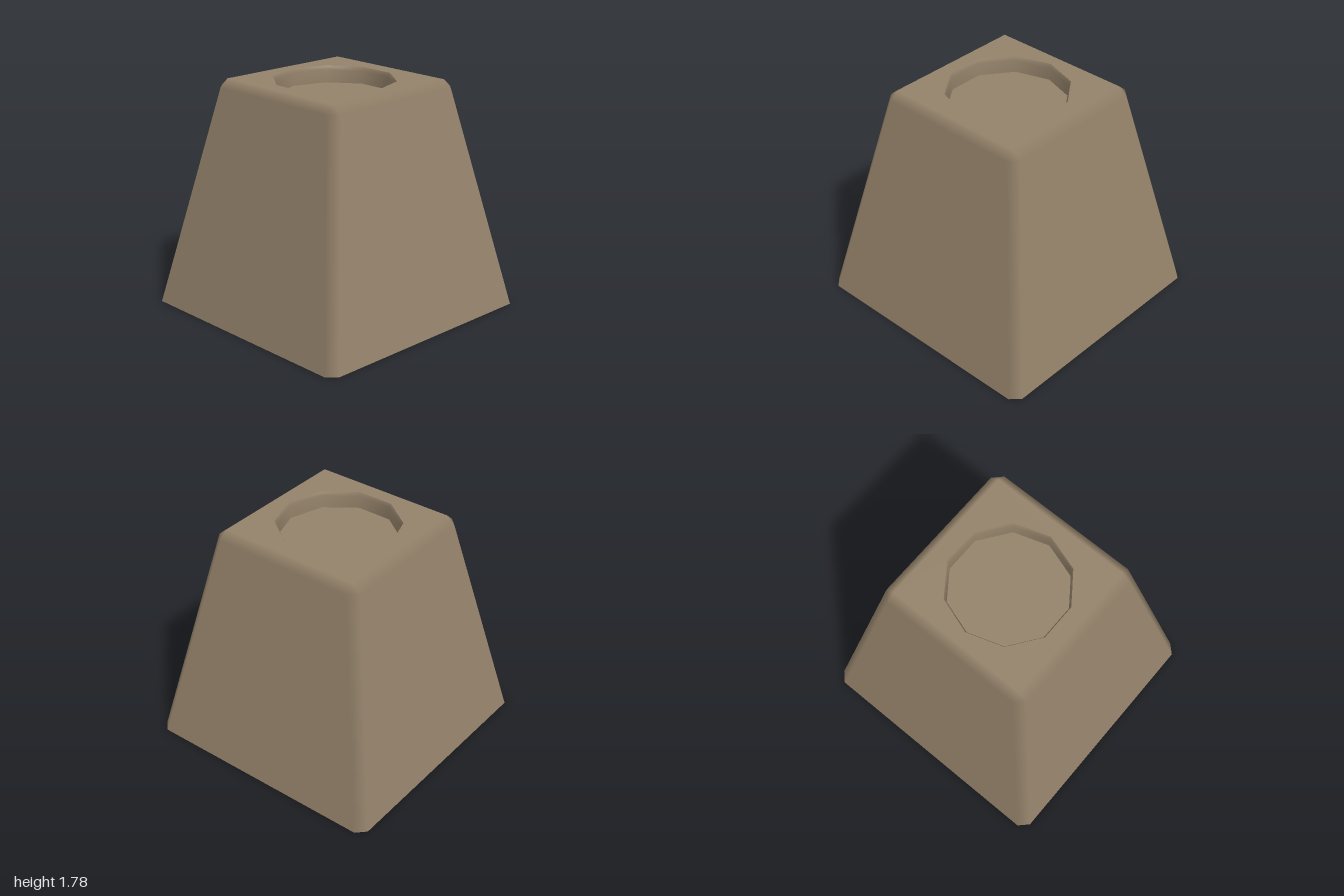
import * as THREE from 'three';

const TOP = 1.78, SHOULDER = 1.72;      // heights of the top face and of its bevel
const HOLE = { x: -0.005, z: 0.008, outer: 0.468, inner: 0.455, sides: 10, floor: 1.65 };

// Collects faces whose corners carry their own normals, so bevels blend between flat faces
function faceBuilder() {
  const positions = [], normals = [];
  const tri = (...corners) => corners.forEach(([p, n]) => {
    positions.push(...p.toArray());
    normals.push(...n.toArray());
  });
  return {
    tri,
    quad(a, b, c, d) { tri(a, b, c); tri(a, c, d); },
    build() {
      const g = new THREE.BufferGeometry();
      g.setAttribute('position', new THREE.Float32BufferAttribute(positions, 3));
      g.setAttribute('normal', new THREE.Float32BufferAttribute(normals, 3));
      return g;
    },
  };
}

export function createModel() {
  const group = new THREE.Group();
  group.name = 'taperedBlock';
  const stone = new THREE.MeshStandardMaterial({ color: 0x94826a, side: THREE.DoubleSide });
  stone.name = 'brownStone';

  const add = (name, geometry) => {
    const mesh = new THREE.Mesh(geometry, stone);
    mesh.name = name;
    group.add(mesh);
    return mesh;
  };

  // Corners of one side, turned by quarter turns around the block
  const Y = new THREE.Vector3(0, 1, 0);
  const sideCorners = (k) => {
    const turn = (x, y, z) => new THREE.Vector3(x, y, z).applyAxisAngle(Y, k * Math.PI / 2);
    const n = turn(0, 0.36, SHOULDER).normalize();
    return {
      baseL: [turn(-0.93, 0, 1), n], baseR: [turn(0.93, 0, 1), n],
      upL: [turn(-0.57, SHOULDER, 0.64), n], upR: [turn(0.57, SHOULDER, 0.64), n],
      topL: [turn(-0.57, TOP, 0.57), Y], topR: [turn(0.57, TOP, 0.57), Y],
    };
  };

  // Sloping walls, open underneath, and their bevels
  const walls = faceBuilder(), bevels = faceBuilder();
  for (let k = 0; k < 4; k++) {
    const s = sideCorners(k), next = sideCorners(k + 1);
    walls.quad(s.baseL, s.baseR, s.upR, s.upL);
    bevels.quad(s.baseR, next.baseL, next.upL, s.upR);
    bevels.quad(s.upL, s.upR, s.topR, s.topL);
    bevels.tri(s.upR, next.upL, s.topR);
  }
  add('walls', walls.build());
  add('bevels', bevels.build());

  // Top face with a ten-sided opening
  const square = new THREE.Shape([[-1, -1], [1, -1], [1, 1], [-1, 1]]
    .map(([x, y]) => new THREE.Vector2(x * 0.57, y * 0.57)));
  const ring = [];
  for (let i = 0; i < HOLE.sides; i++) {
    const a = -i / HOLE.sides * Math.PI * 2;
    ring.push(new THREE.Vector2(HOLE.x + HOLE.outer * Math.cos(a), -HOLE.z + HOLE.outer * Math.sin(a)));
  }
  square.holes.push(new THREE.Path(ring));
  add('topFace', new THREE.ShapeGeometry(square).rotateX(-Math.PI / 2)).position.y = TOP;

  // Recess: softened rim, wall and floor
  const profile = [[HOLE.outer, TOP], [HOLE.inner, TOP - 0.03], [HOLE.inner, HOLE.floor]]
    .map(([r, y]) => new THREE.Vector2(r, y));
  add('recessWall', new THREE.LatheGeometry(profile, HOLE.sides, Math.PI / 2))
    .position.set(HOLE.x, 0, HOLE.z);
  add('recessFloor', new THREE.CircleGeometry(HOLE.inner, HOLE.sides).rotateX(-Math.PI / 2))
    .position.set(HOLE.x, HOLE.floor, HOLE.z);

  return group;
}
